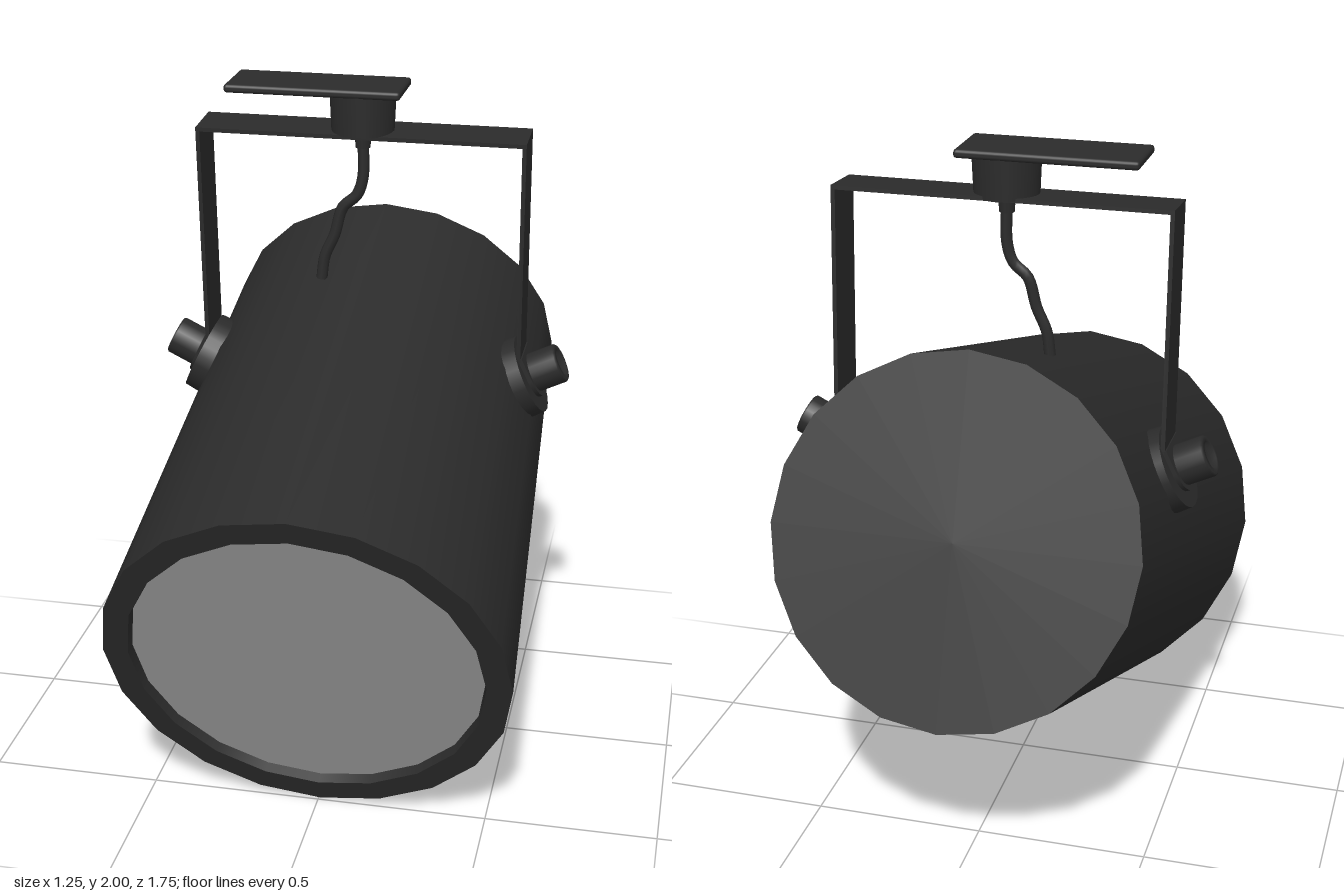
import * as THREE from 'three';
import { RoundedBoxGeometry } from 'three/addons/geometries/RoundedBoxGeometry.js';

const dark = new THREE.MeshStandardMaterial({ color: 0x2b2b2b });
const darkThin = new THREE.MeshStandardMaterial({ color: 0x2b2b2b, side: THREE.DoubleSide });
const glass = new THREE.MeshStandardMaterial({ color: 0x999999 });
const rad = THREE.MathUtils.degToRad;
const SIDES = 20;

function add(parent, name, geometry, position = [0, 0, 0], material = dark) {
  const mesh = new THREE.Mesh(geometry, material);
  mesh.name = name;
  mesh.position.set(...position);
  parent.add(mesh);
  return mesh;
}

// Lamp can: local +z runs out of the lens, origin at the centre of the front rim
function makeCan() {
  const can = new THREE.Group();
  can.name = 'can';
  can.position.set(0.005, 0.55, 0.685);
  can.rotation.x = rad(19.5);
  const length = 1.469, rFront = 0.583, rBack = 0.52, rLens = 0.505, recess = 0.03;

  const shell = new THREE.CylinderGeometry(rFront, rBack, length, SIDES, 1, true).rotateX(Math.PI / 2);
  add(can, 'shell', shell, [0, 0, -length / 2]);
  add(can, 'backPlate', new THREE.CircleGeometry(rBack, SIDES).rotateY(Math.PI), [0, 0, -length]);
  add(can, 'frontRim', new THREE.RingGeometry(rLens + 0.005, rFront, SIDES));
  const lip = new THREE.CylinderGeometry(rLens + 0.005, rLens, recess, SIDES, 1, true).rotateX(Math.PI / 2);
  add(can, 'innerLip', lip, [0, 0, -recess / 2], darkThin);
  add(can, 'lens', new THREE.CircleGeometry(rLens, SIDES), [0, 0, -recess], glass);
  return can;
}

// Thin bent strap that carries the can
function makeYoke() {
  const yoke = new THREE.Group();
  yoke.name = 'yoke';
  yoke.position.set(0, 1.86, -0.175);
  yoke.rotation.x = rad(3.4);
  add(yoke, 'yokeBar', new THREE.BoxGeometry(0.97, 0.012, 0.15));
  for (const s of [-1, 1]) {
    add(yoke, s > 0 ? 'leftLeg' : 'rightLeg', new THREE.BoxGeometry(0.012, 0.68, 0.15), [s * 0.479, -0.34, 0]);
  }
  return yoke;
}

// Washer, bent strap end and clamp knob; local y points out of the can
function makePivot(s) {
  const pivot = new THREE.Group();
  pivot.name = s > 0 ? 'leftPivot' : 'rightPivot';
  pivot.position.set(s * 0.475, 1.105, -0.215);
  pivot.rotation.z = -s * rad(64);
  add(pivot, 'washer', new THREE.CylinderGeometry(0.122, 0.125, 0.055, 24), [0, 0.0125, 0]);
  add(pivot, 'strapEnd', new THREE.CylinderGeometry(0.075, 0.075, 0.012, 24), [0, 0.046, 0]);
  add(pivot, 'strapBend', new THREE.BoxGeometry(0.075, 0.012, 0.15), [-s * 0.0375, 0.046, 0]);
  // knob with a dished end
  const knob = [[0.06, 0.04], [0.06, 0.135], [0.055, 0.14], [0.04, 0.14], [0.036, 0.125], [0, 0.125]];
  add(pivot, 'knob', new THREE.LatheGeometry(knob.map(p => new THREE.Vector2(...p)), 20));
  return pivot;
}

// Ceiling plate, canopy and power cable
function makeMount() {
  const mount = new THREE.Group();
  mount.name = 'mount';
  const z = -0.17;
  add(mount, 'ceilingPlate', new RoundedBoxGeometry(0.515, 0.025, 0.2, 2, 0.01), [-0.133, 1.9875, z]);
  add(mount, 'canopy', new THREE.CylinderGeometry(0.097, 0.092, 0.12, 24), [0, 1.92, z]);
  add(mount, 'cableGland', new THREE.CylinderGeometry(0.026, 0.022, 0.05, 12), [0, 1.835, z]);
  const path = [[0, 1.84], [0, 1.72], [-0.018, 1.665], [-0.06, 1.625], [-0.085, 1.54], [-0.115, 1.47], [-0.125, 1.4]];
  const curve = new THREE.CatmullRomCurve3(path.map(([x, y]) => new THREE.Vector3(x, y, z)));
  add(mount, 'cable', new THREE.TubeGeometry(curve, 32, 0.017, 8), [0, 0, 0], darkThin);
  return mount;
}

export function createModel() {
  const model = new THREE.Group();
  model.name = 'spotlight';
  model.add(makeCan(), makeYoke(), makePivot(1), makePivot(-1), makeMount());
  return model;
}
